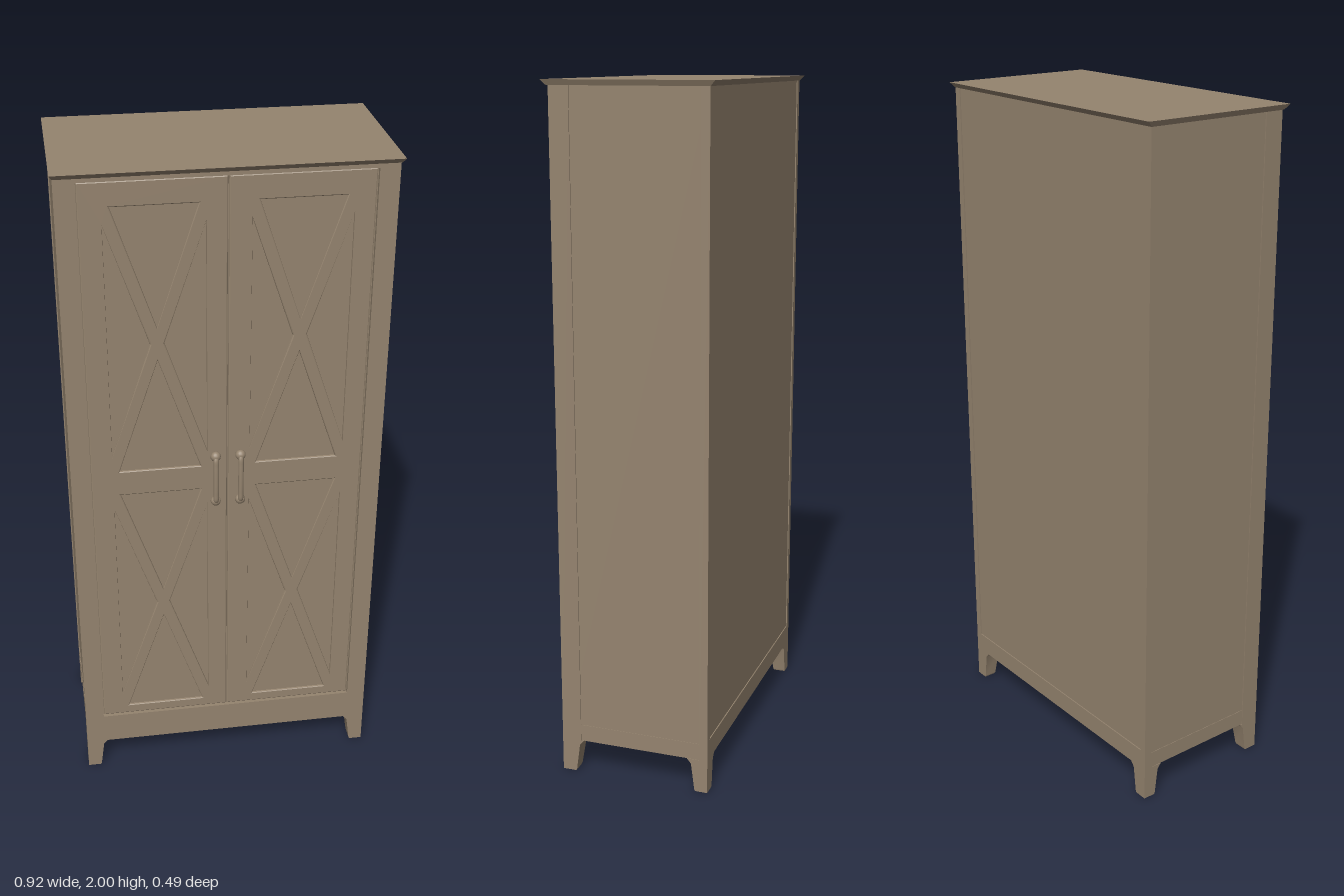
import * as THREE from 'three';

export function createModel() {
  const root = new THREE.Group();
  root.name = 'cabinet';
  const wood = new THREE.MeshStandardMaterial({ color: 0x95846f });
  wood.name = 'taupe wood';

  const add = (name, geometry, parent = root) => {
    const mesh = new THREE.Mesh(geometry, wood);
    mesh.name = name;
    parent.add(mesh);
    return mesh;
  };
  // Box given by its limits on each axis
  const block = (name, [x0, x1], [y0, y1], [z0, z1], parent) => {
    const m = add(name, new THREE.BoxGeometry(x1 - x0, y1 - y0, z1 - z0), parent);
    m.position.set((x0 + x1) / 2, (y0 + y1) / 2, (z0 + z1) / 2);
    return m;
  };
  // Moves every vertex of a geometry by a rule
  const reshape = (geometry, rule) => {
    const p = geometry.attributes.position;
    const v = new THREE.Vector3();
    for (let i = 0; i < p.count; i++) {
      rule(v.fromBufferAttribute(p, i));
      p.setXYZ(i, v.x, v.y, v.z);
    }
    geometry.computeVertexNormals();
    return geometry;
  };

  const W = 0.452, FRONT = 0.22, BACK = -0.23, FOOT = 0.1, TOP = 1.985;

  // Carcass, with the floor set slightly above the rails
  block('carcass', [-0.449, 0.449], [0.113, TOP], [-0.227, 0.208]);
  block('bottomFrontRail', [-0.4, 0.4], [FOOT, 0.2], [0.19, FRONT]);
  block('bottomBackRail', [-0.43, 0.43], [FOOT, 0.16], [BACK, -0.21]);
  block('topFrontRail', [-0.4, 0.4], [1.972, TOP], [0.2, FRONT]);

  // Top board, undercut towards the carcass
  const topBoard = reshape(new THREE.BoxGeometry(0.92, 0.015, 0.485), (v) => {
    if (v.y < 0) { v.x *= 0.984; v.z *= 0.94; }
  });
  add('topBoard', topBoard).position.set(0, 1.9925, -0.0025);

  // Tapered foot: outer faces stay upright, inner faces slope outwards
  const footGeometry = (sx, sz, wide, deep) => {
    const rows = [[0, 0.68], [0.006, 0.72], [0.085, 0.9], [FOOT, 1.12]];
    const g = new THREE.BoxGeometry(1, 3, 1, 1, 3, 1);
    return reshape(g, (v) => {
      const [y, s] = rows[Math.round(v.y + 1.5)];
      v.x = sx * W - (v.x * sx < 0 ? sx * wide * s : 0);
      v.z = (sz > 0 ? FRONT : BACK) - (v.z * sz < 0 ? sz * deep * s : 0);
      v.y = y;
    });
  };

  for (const s of [1, -1]) {
    const side = s > 0 ? 'left' : 'right';
    const span = (a, b) => [Math.min(s * a, s * b), Math.max(s * a, s * b)];
    block(side + 'FrontPost', span(0.396, W), [FOOT, TOP], [0.162, FRONT]);
    block(side + 'BackPost', span(0.43, W), [FOOT, TOP], [BACK, -0.205]);
    block(side + 'BottomRail', span(0.43, 0.4505), [FOOT, 0.15], [-0.21, 0.17]);
    add(side + 'FrontFoot', footGeometry(s, 1, 0.058, 0.06));
    add(side + 'BackFoot', footGeometry(s, -1, 0.058, 0.055));
  }

  // Door face: frame and cross bars left standing between triangular recesses
  const polygon = (Type, pts) => new Type(pts.map(([x, y]) => new THREE.Vector2(x, y)));
  const doorGeometry = () => {
    const shape = polygon(THREE.Shape, [[0.001, 0.202], [0.394, 0.202], [0.394, 1.971], [0.001, 1.971]]);
    const x0 = 0.064, x1 = 0.336, cx = 0.2;
    for (const [y0, y1] of [[0.235, 1.025], [1.105, 1.9]]) {
      const cy = (y0 + y1) / 2, gapX = 0.02, gapY = 0.05;
      const recesses = [
        [[x0 + gapX, y1], [x1 - gapX, y1], [cx, cy + gapY]],
        [[x0 + gapX, y0], [cx, cy - gapY], [x1 - gapX, y0]],
        [[x0, y0 + gapY], [x0, y1 - gapY], [cx - gapX, cy]],
        [[x1, y0 + gapY], [cx + gapX, cy], [x1, y1 - gapY]],
      ];
      for (const r of recesses) shape.holes.push(polygon(THREE.Path, r));
    }
    return new THREE.ExtrudeGeometry(shape, {
      depth: 0.006, bevelEnabled: true, bevelThickness: 0.006,
      bevelSize: 0.004, bevelOffset: -0.004, bevelSegments: 2,
    });
  };

  // Bow handle with a rounded collar at each end
  const bow = new THREE.CatmullRomCurve3([
    [0, -0.077, 0], [0, -0.07, 0.012], [0, -0.045, 0.015],
    [0, 0.045, 0.015], [0, 0.07, 0.012], [0, 0.077, 0],
  ].map((p) => new THREE.Vector3(...p)));

  for (const s of [1, -1]) {
    const door = new THREE.Group();
    door.name = s > 0 ? 'leftDoor' : 'rightDoor';
    root.add(door);
    const face = add('doorFace', doorGeometry(), door);
    face.position.set(s > 0 ? 0 : -0.395, 0, 0.202);

    const handle = new THREE.Group();
    handle.name = 'handle';
    handle.position.set(s * 0.036, 1.062, FRONT - 0.002);
    door.add(handle);
    add('grip', new THREE.TubeGeometry(bow, 32, 0.008, 10), handle);
    for (const e of [1, -1]) {
      const collar = add('collar', new THREE.SphereGeometry(0.015, 16, 10), handle);
      collar.scale.set(1, 1, 0.9);
      collar.position.set(0, e * 0.075, 0.004);
    }
  }
  return root;
}
